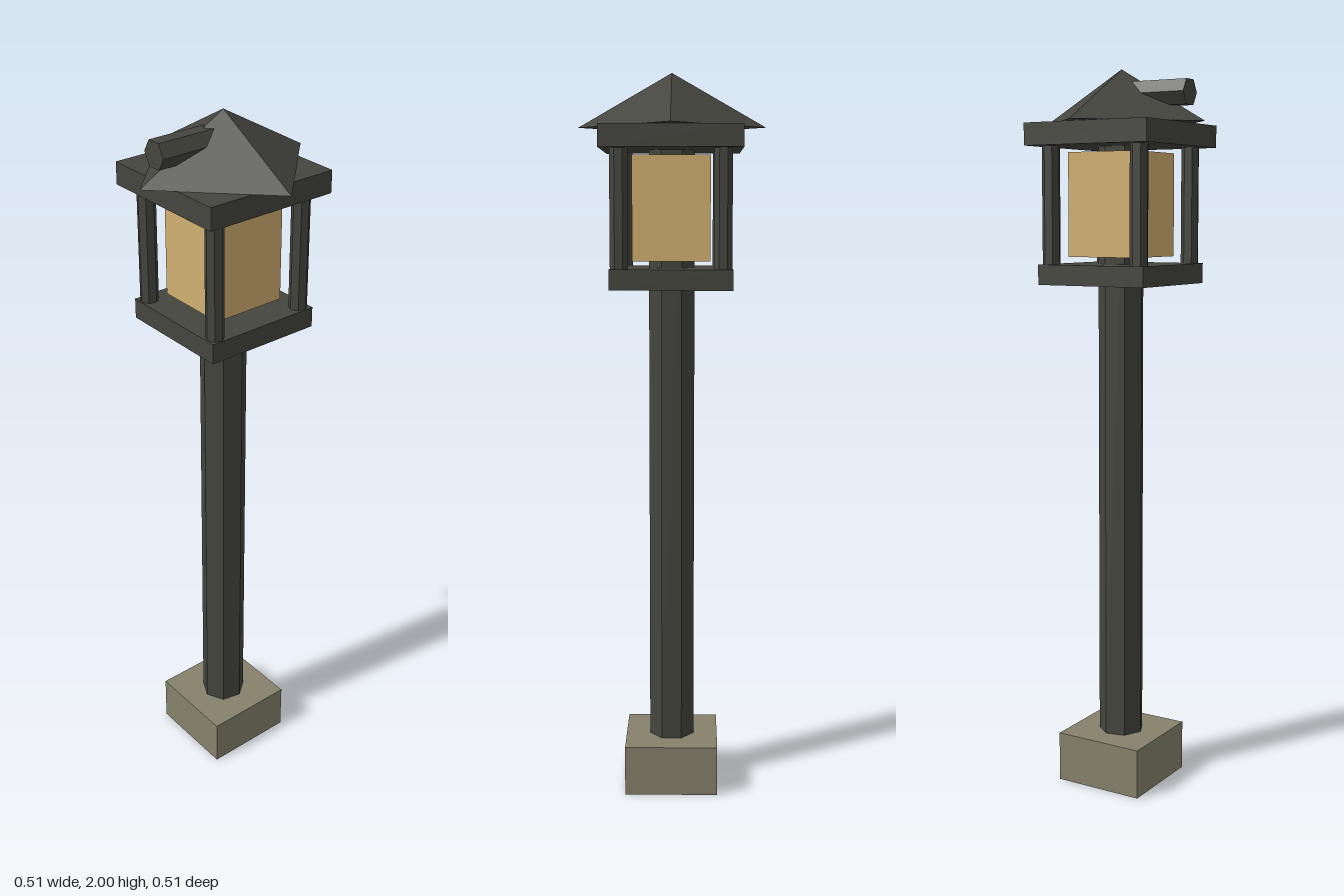
import * as THREE from 'three';

export function createModel() {
  const model = new THREE.Group();
  model.name = 'gardenLantern';

  const material = (name, color) => {
    const m = new THREE.MeshStandardMaterial({ color });
    m.name = name;
    m.flatShading = true;
    return m;
  };
  const metal = material('darkMetal', 0x44453e);
  const stone = material('stone', 0x85816c);
  const glass = material('amberGlass', 0xd0b070);

  const add = (name, geometry, mat, x = 0, y = 0, z = 0) => {
    const mesh = new THREE.Mesh(geometry, mat);
    mesh.name = name;
    mesh.position.set(x, y, z);
    model.add(mesh);
    return mesh;
  };
  // Square slab of half-width h between two heights
  const slab = (name, h, y0, y1, mat) =>
    add(name, new THREE.BoxGeometry(2 * h, y1 - y0, 2 * h), mat, 0, (y0 + y1) / 2, 0);
  // Seven-sided upright with one edge facing -x
  const upright = (name, r, y0, y1, x = 0, z = 0) =>
    add(name, new THREE.CylinderGeometry(r, r, y1 - y0, 7, 1, false, -Math.PI / 2),
      metal, x, (y0 + y1) / 2, z);

  // Footing and post
  slab('footing', 0.13, 0, 0.14, stone);
  upright('post', 0.064, 0.14, 1.82);

  // Lantern housing
  slab('lanternFloor', 0.165, 1.425, 1.48, metal);
  slab('lanternGlass', 0.105, 1.5, 1.78, glass);
  for (const x of [-1, 1]) {
    for (const z of [-1, 1]) {
      upright('cornerBar', 0.025, 1.47, 1.81, x * 0.138, z * 0.138);
    }
  }
  slab('eave', 0.19, 1.796, 1.856, metal);

  // Pyramid roof, turned so its corners lie on the axes
  add('roof', new THREE.ConeGeometry(0.255, 0.144, 4), metal, 0, 1.928, 0);

  // Six-sided vent pipe lying along x, its inner end buried in the roof
  const vent = add('ventPipe', new THREE.CylinderGeometry(0.038, 0.038, 0.21, 6),
    metal, -0.105, 1.932, 0);
  vent.rotation.z = Math.PI / 2;

  return model;
}
